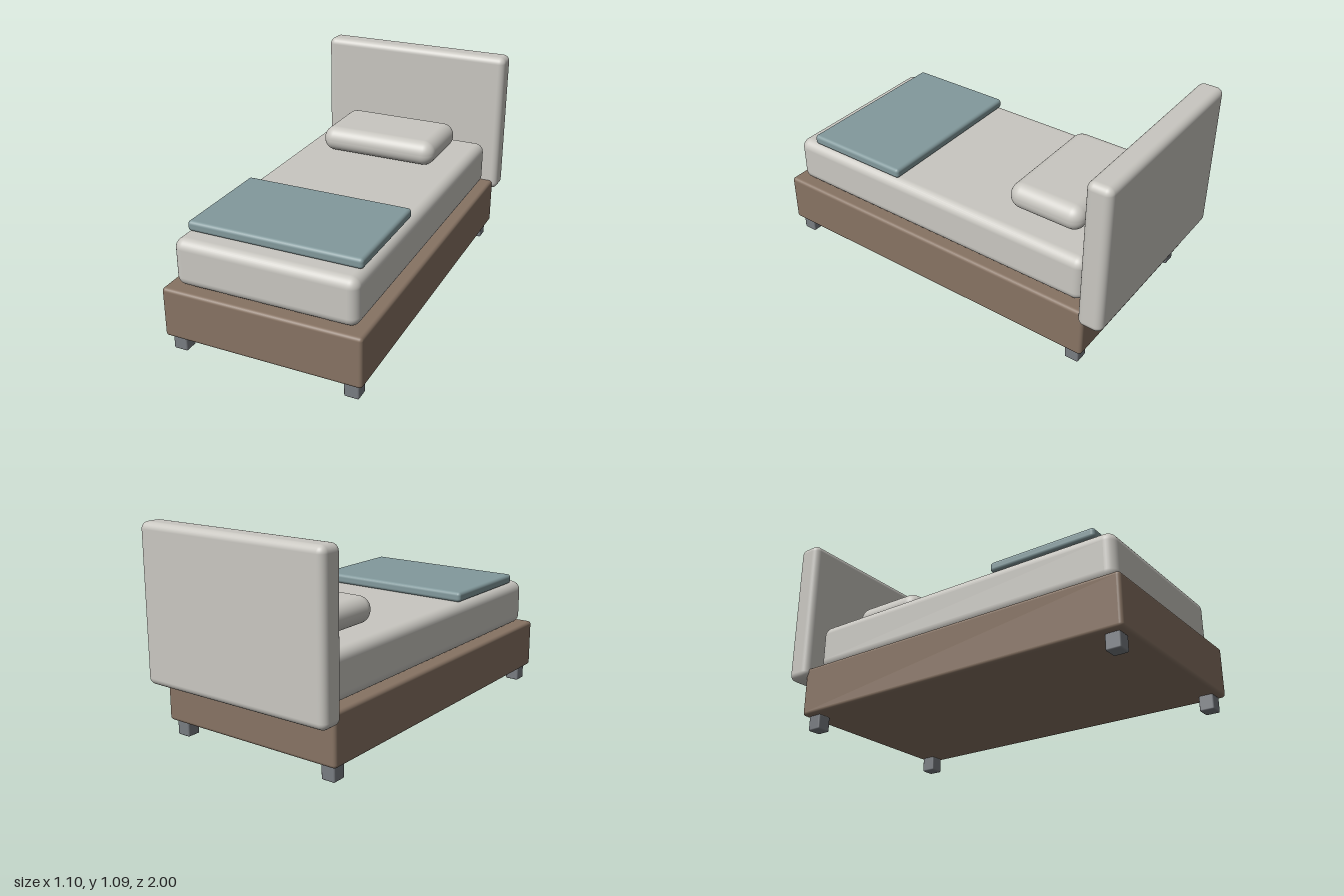
import * as THREE from 'three';
import { RoundedBoxGeometry } from 'three/addons/geometries/RoundedBoxGeometry.js';

function material(name, color) {
  const m = new THREE.MeshStandardMaterial({ color });
  m.name = name;
  return m;
}

export function createModel() {
  const bed = new THREE.Group();
  bed.name = 'bed';

  const linen = material('pale linen', 0xc9c7c1);
  const wood = material('brown wood', 0x877363);
  const teal = material('dusty teal', 0x82999c);
  const metal = material('grey metal', 0x787c81);

  // Rounded block spanning the given minimum and maximum corners
  function block(name, mat, [x0, y0, z0], [x1, y1, z1], radius, segments = 4) {
    const geometry = new RoundedBoxGeometry(x1 - x0, y1 - y0, z1 - z0, segments, radius);
    const mesh = new THREE.Mesh(geometry, mat);
    mesh.name = name;
    mesh.position.set((x0 + x1) / 2, (y0 + y1) / 2, (z0 + z1) / 2);
    bed.add(mesh);
  }

  // Frame and headboard
  block('bedFrame', wood, [-0.521, 0.08, -0.893], [0.521, 0.344, 1], 0.018);
  block('headboard', linen, [-0.548, 0.29, -1], [0.548, 1.091, -0.87], 0.036);

  // Bedding
  block('mattress', linen, [-0.475, 0.344, -0.848], [0.475, 0.59, 0.952], 0.05);
  block('pillow', linen, [-0.331, 0.593, -0.735], [0.331, 0.731, -0.32], 0.066, 5);
  block('blanket', teal, [-0.454, 0.59, 0.265], [0.454, 0.643, 0.848], 0.018);

  // Four short legs
  for (const x of [-0.457, 0.457]) {
    for (const z of [-0.828, 0.935]) {
      const h = 0.0375;
      block('leg', metal, [x - h, 0.003 - 0.003, z - h], [x + h, 0.08, z + h], 0.008, 2);
    }
  }

  return bed;
}
